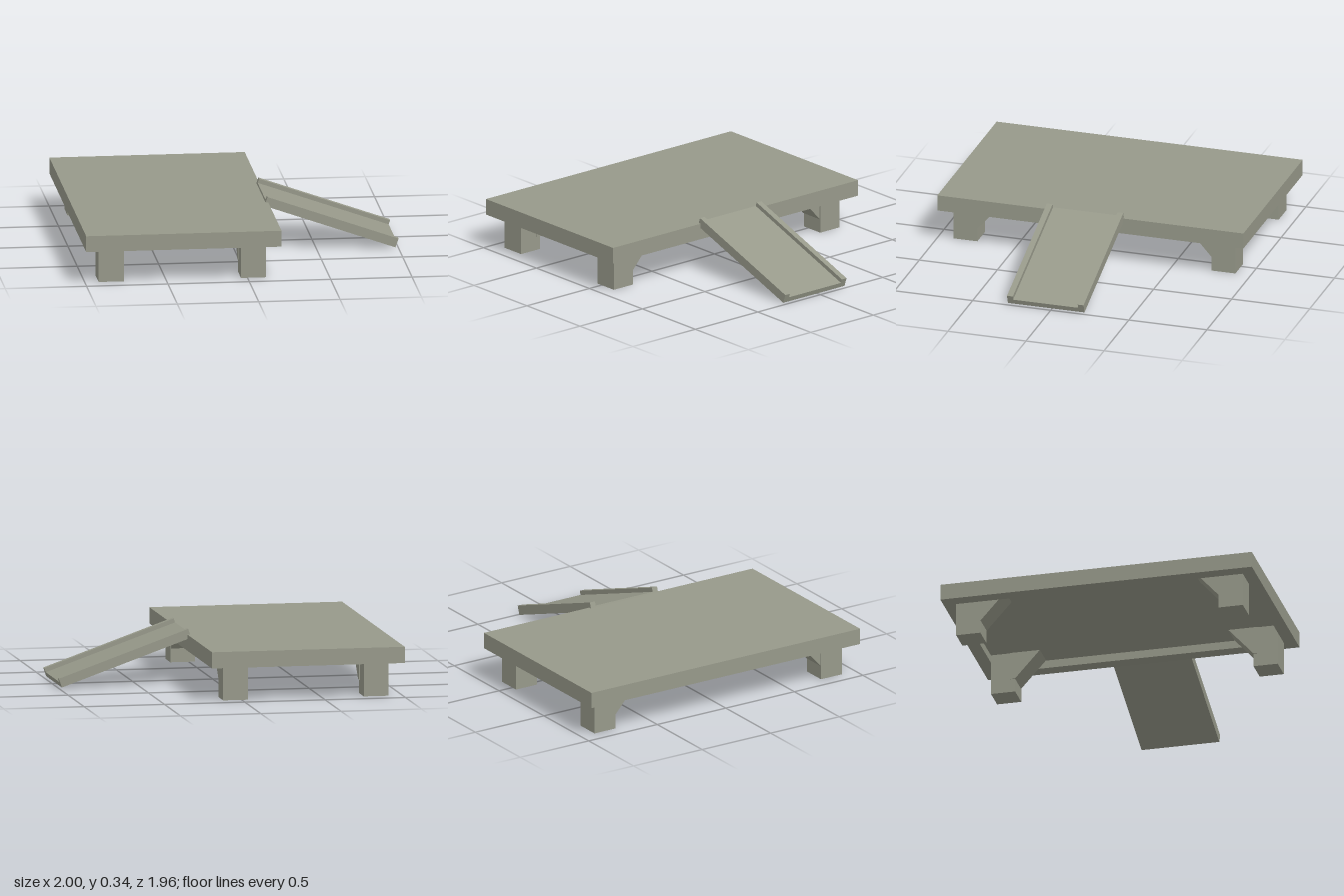
import * as THREE from 'three';

const material = new THREE.MeshStandardMaterial({ color: 0x97998a, flatShading: true });

function add(parent, name, geometry, x = 0, y = 0, z = 0) {
  const mesh = new THREE.Mesh(geometry, material);
  mesh.name = name;
  mesh.position.set(x, y, z);
  parent.add(mesh);
  return mesh;
}

// Box given by its minimum and maximum corners
function addBox(parent, name, [x0, y0, z0], [x1, y1, z1]) {
  return add(parent, name, new THREE.BoxGeometry(x1 - x0, y1 - y0, z1 - z0),
    (x0 + x1) / 2, (y0 + y1) / 2, (z0 + z1) / 2);
}

function rectangle(Type, w, h) {
  return new Type([[-w, -h], [w, -h], [w, h], [-w, h]].map(([x, y]) => new THREE.Vector2(x, y)));
}

export function createModel() {
  const model = new THREE.Group();
  model.name = 'platformWithRamp';

  // Deck: a flat panel over a rim that leaves the underside recessed
  const deck = new THREE.Group();
  deck.name = 'deck';
  model.add(deck);
  const centreX = -0.4, panelBottom = 0.26;
  addBox(deck, 'deckPanel', [-1, panelBottom, -0.98], [0.2, 0.31, 0.98]);
  const rim = rectangle(THREE.Shape, 0.6, 0.98);
  rim.holes.push(rectangle(THREE.Path, 0.515, 0.902));
  const rimGeometry = new THREE.ExtrudeGeometry(rim, { depth: panelBottom - 0.21, bevelEnabled: false });
  rimGeometry.rotateX(-Math.PI / 2);
  add(deck, 'deckRim', rimGeometry, centreX, 0.21, 0);

  // Legs, each with a sloping bracket towards the middle of the deck
  const legWidth = 0.155;
  for (const sx of [-1, 1]) {
    for (const sz of [-1, 1]) {
      const leg = new THREE.Group();
      leg.name = (sz > 0 ? 'front' : 'back') + (sx > 0 ? 'Left' : 'Right') + 'Leg';
      model.add(leg);
      const x = centreX + sx * (0.515 - legWidth / 2);
      const z = sz * 0.826;
      add(leg, 'legPost', new THREE.BoxGeometry(legWidth, panelBottom, 0.152), x, panelBottom / 2, z);

      const profile = new THREE.Shape([[0.78, 0.085], [0.75, 0.085], [0.593, panelBottom], [0.78, panelBottom]]
        .map(([pz, py]) => new THREE.Vector2(sz * pz, py)));
      const bracket = new THREE.ExtrudeGeometry(profile, { depth: legWidth, bevelEnabled: false });
      bracket.translate(0, 0, -legWidth / 2);
      bracket.rotateY(-Math.PI / 2);
      add(leg, 'legBracket', bracket, x - sx * 0.005, 0, 0);
    }
  }

  // Ramp: sloping floor between two raised side rails
  const ramp = new THREE.Group();
  ramp.name = 'ramp';
  ramp.position.set(0.195, 0.345, 0.035);
  ramp.rotation.z = -Math.atan2(0.285, 0.805);
  model.add(ramp);
  const length = 0.854, thickness = 0.058, half = 0.245, rail = 0.037;
  addBox(ramp, 'rampFloor', [0, -thickness, rail - half], [length, -0.026, half - rail]);
  addBox(ramp, 'leftRampRail', [0, -thickness, half - rail], [length, 0, half]);
  addBox(ramp, 'rightRampRail', [0, -thickness, -half], [length, 0, rail - half]);

  return model;
}
